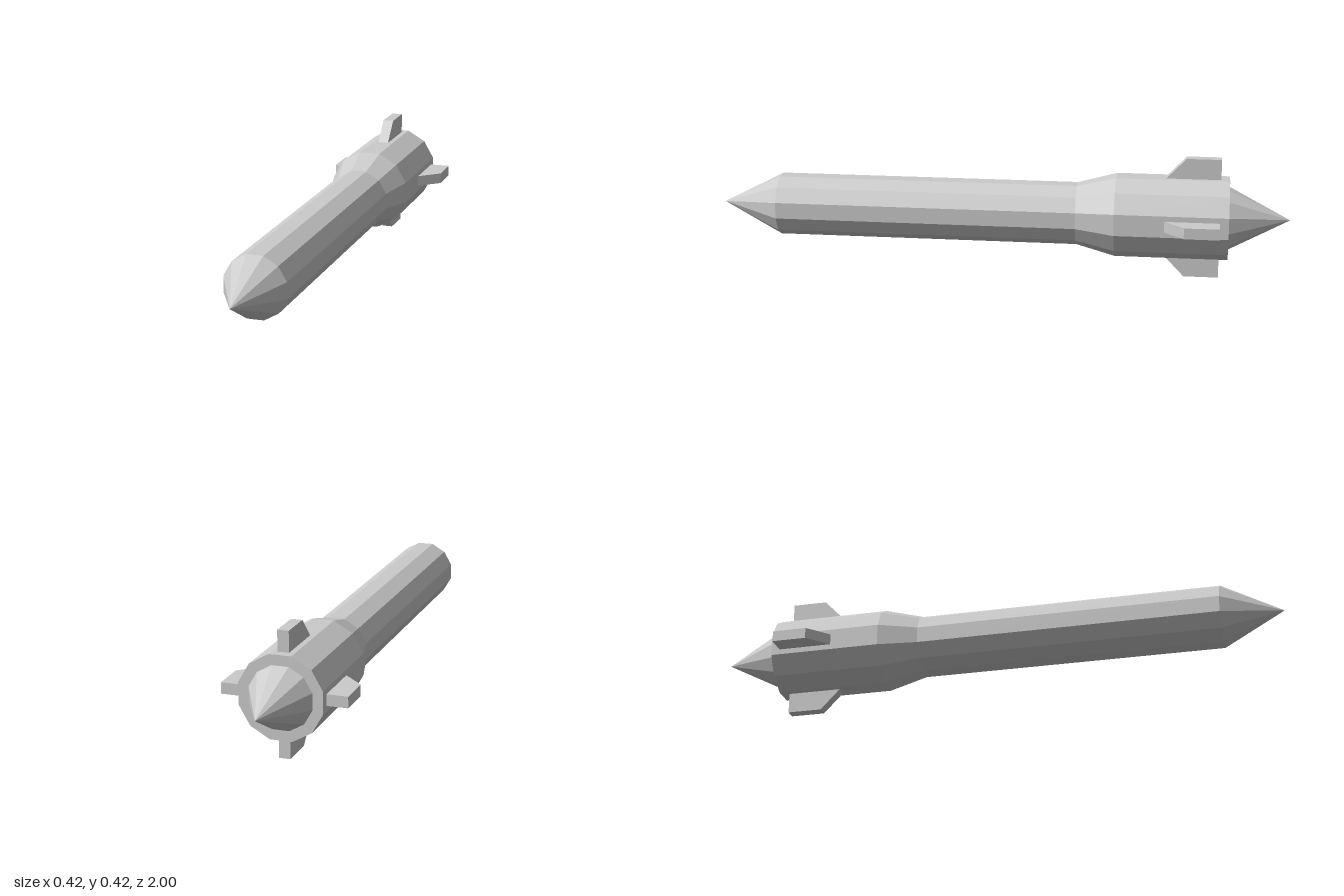
import * as THREE from 'three';

const SIDES = 12;
const AXIS_Y = 0.211;
// Corner radius from the distance to a flat side
const corner = (flat) => flat / Math.cos(Math.PI / SIDES);
const SLIM = corner(0.105);
const WIDE = corner(0.14);

export function createModel() {
  const model = new THREE.Group();
  model.name = 'missile';
  const material = new THREE.MeshStandardMaterial({ color: 0xcccccc, flatShading: true });

  const add = (name, geometry) => {
    const mesh = new THREE.Mesh(geometry, material);
    mesh.name = name;
    mesh.position.y = AXIS_Y;
    model.add(mesh);
    return mesh;
  };

  // Hull section turned around the z axis; profile is [radius, z], back to front
  const section = (name, profile) => {
    const points = profile.map(([r, z]) => new THREE.Vector2(r, z));
    const geometry = new THREE.LatheGeometry(points, SIDES, Math.PI / SIDES);
    add(name, geometry.rotateX(Math.PI / 2));
  };

  section('tailCone', [[0, -1], [SLIM, -0.79]]);
  section('tailRim', [[SLIM, -0.79], [WIDE, -0.79]]);
  section('booster', [[WIDE, -0.79], [WIDE, -0.4]]);
  section('flare', [[WIDE, -0.4], [SLIM, -0.265]]);
  section('body', [[SLIM, -0.265], [SLIM, 0.79]]);
  section('noseCone', [[SLIM, 0.79], [0, 1]]);

  // Four swept fins, drawn as (radius, z) and given thickness
  const outline = new THREE.Shape([
    new THREE.Vector2(0.135, -0.76),
    new THREE.Vector2(0.211, -0.76),
    new THREE.Vector2(0.211, -0.64),
    new THREE.Vector2(0.14, -0.572),
    new THREE.Vector2(0.135, -0.572),
  ]);
  const fin = new THREE.ExtrudeGeometry(outline, { depth: 0.038, bevelEnabled: false });
  fin.translate(0, 0, -0.019).rotateX(Math.PI / 2);
  ['leftFin', 'topFin', 'rightFin', 'bottomFin'].forEach((name, i) => {
    add(name, fin).rotation.z = (i * Math.PI) / 2;
  });

  return model;
}
